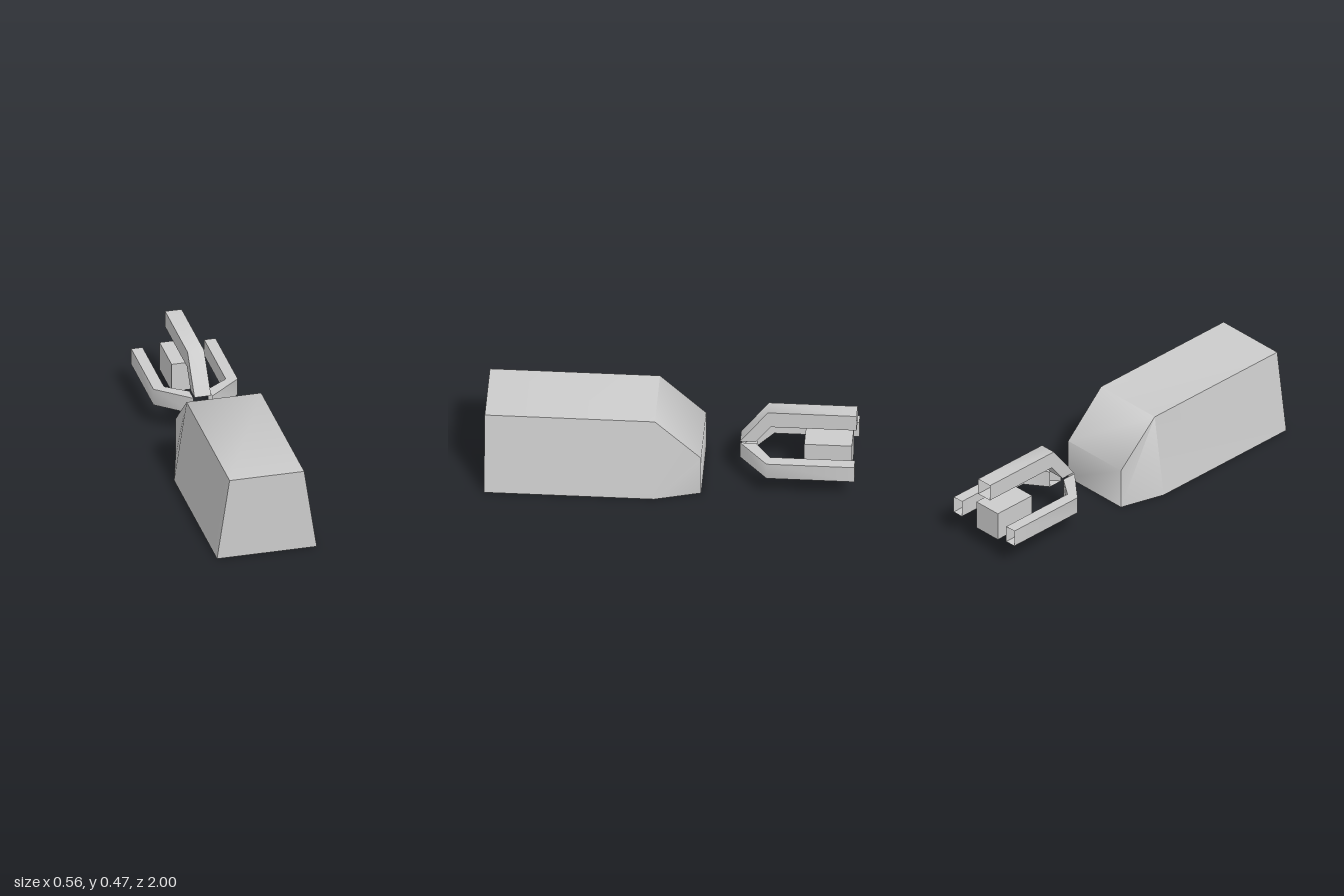
import * as THREE from 'three';
import { toCreasedNormals } from 'three/addons/utils/BufferGeometryUtils.js';

const material = new THREE.MeshStandardMaterial({ color: 0xcccccc });
const openMaterial = new THREE.MeshStandardMaterial({ color: 0xcccccc, side: THREE.DoubleSide });

// Mesh from corner points and convex faces (corners counter-clockwise from outside)
function facetMesh(name, points, faces, creaseDegrees, mat) {
  const positions = [];
  for (const f of faces) {
    for (let i = 1; i < f.length - 1; i++) {
      for (const k of [f[0], f[i], f[i + 1]]) positions.push(...points[k]);
    }
  }
  const geometry = new THREE.BufferGeometry();
  geometry.setAttribute('position', new THREE.Float32BufferAttribute(positions, 3));
  const mesh = new THREE.Mesh(toCreasedNormals(geometry, THREE.MathUtils.degToRad(creaseDegrees)), mat);
  mesh.name = name;
  return mesh;
}

// Open-ended square tube skinned through four-cornered rings
function openTube(name, rings) {
  const faces = [];
  for (let r = 0; r < rings.length - 1; r++) {
    for (let i = 0; i < 4; i++) {
      const a = r * 4 + i, b = r * 4 + (i + 1) % 4;
      faces.push([a, b, b + 4, a + 4]);
    }
  }
  return facetMesh(name, rings.flat(), faces, 60, openMaterial);
}

export function createModel() {
  const group = new THREE.Group();

  // Body: tapered block with a sloped, narrowed back end
  const section = (z, bottom, top, height) => [
    [-bottom, 0, z], [bottom, 0, z], [top, height, z], [-top, height, z],
  ];
  const bodyPoints = [
    ...section(1, 0.278, 0.208, 0.47),
    ...section(0.08, 0.278, 0.208, 0.47),
    ...section(-0.17, 0.205, 0.205, 0.235),
  ];
  group.add(facetMesh('body', bodyPoints, [
    [0, 1, 2, 3],               // front
    [3, 2, 6, 7],               // top
    [7, 6, 10, 11],             // back slope
    [9, 8, 11, 10],             // back
    [0, 4, 5, 1], [4, 8, 9, 5], // underside
    [1, 5, 6, 2],               // left side
    [5, 10, 6], [5, 9, 10],     // left back corner
    [0, 3, 7, 4],               // right side
    [7, 11, 8], [7, 8, 4],      // right back corner
  ], 75, material));

  // Upper arm: outer and inner edge as [y, z] pairs
  const upperPath = [
    [[0.24, -0.37], [0.24, -0.455]],
    [[0.44, -0.52], [0.345, -0.535]],
    [[0.44, -1], [0.345, -1]],
  ];
  const w = 0.046;
  group.add(openTube('upperArm', upperPath.map(([[yo, zo], [yi, zi]]) => [
    [-w, yo, zo], [w, yo, zo], [w, yi, zi], [-w, yi, zi],
  ])));

  // Side arms: outer and inner edge as [x, z] pairs, mirrored
  const sidePath = [
    [[0.052, -0.37], [0.052, -0.455]],
    [[0.235, -0.525], [0.172, -0.54]],
    [[0.235, -1], [0.172, -1]],
  ];
  const low = 0.14, high = 0.236;
  for (const s of [1, -1]) {
    const rings = sidePath.map(([[xo, zo], [xi, zi]]) => {
      const ring = [[s * xo, high, zo], [s * xo, low, zo], [s * xi, low, zi], [s * xi, high, zi]];
      return s > 0 ? ring : ring.reverse();
    });
    group.add(openTube(s > 0 ? 'leftArm' : 'rightArm', rings));
  }

  // Block held between the arms
  const block = new THREE.Mesh(new THREE.BoxGeometry(0.166, 0.166, 0.258), material);
  block.position.set(0, 0.183, -0.848);
  block.name = 'heldBlock';
  group.add(block);

  return group;
}
